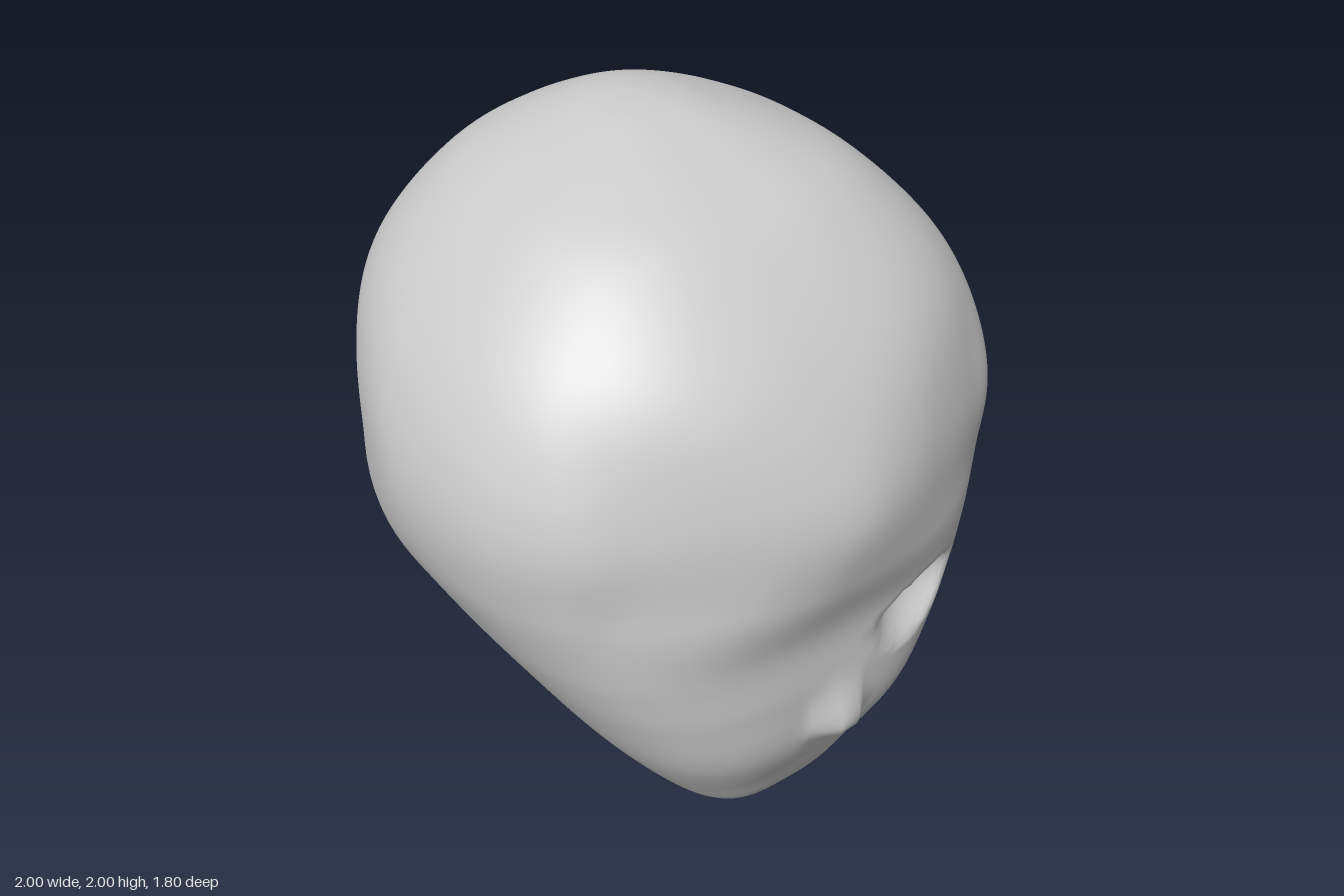
import * as THREE from 'three';

const material = new THREE.MeshStandardMaterial({ color: 0xcccccc });
const CENTER_X = -0.125;

// Head levels: height, half width, front z, back z
const LEVELS = [
  [2.0, 0, -0.1, -0.1], [1.993, 0.08, 0.0, -0.19], [1.97, 0.18, 0.11, -0.29],
  [1.9, 0.365, 0.3, -0.445], [1.8, 0.54, 0.485, -0.585], [1.6, 0.735, 0.695, -0.75],
  [1.4, 0.84, 0.83, -0.855], [1.2, 0.875, 0.9, -0.9], [1.0, 0.845, 0.875, -0.88],
  [0.8, 0.755, 0.815, -0.79], [0.6, 0.64, 0.81, -0.61], [0.4, 0.515, 0.785, -0.4],
  [0.2, 0.365, 0.69, -0.09], [0.1, 0.265, 0.64, 0.11], [0.035, 0.165, 0.585, 0.29],
  [0.008, 0.08, 0.54, 0.4], [0, 0, 0.48, 0.48],
];

// Half of the widest outline, front to back: side fraction, depth fraction
const HALF = [
  [0, 1], [0.2, 0.965], [0.4, 0.89], [0.61, 0.79], [0.8, 0.67], [0.945, 0.44], [1, 0.11],
  [0.94, -0.18], [0.825, -0.43], [0.665, -0.66], [0.44, -0.85], [0.21, -0.96], [0, -1],
];

const smooth = (a, b, v) => THREE.MathUtils.smoothstep(v, a, b);

// Forward offset of the face at (x, y): nose, eye socket and mouth
function faceOffset(x, y) {
  // nose: a ridge that widens to the tip and drops off quickly underneath
  const rise = y > 0.46 ? 1 - smooth(0.46, 0.66, y) : smooth(0.36, 0.46, y);
  const width = 0.035 + 0.03 * rise;
  let d = 0.07 * rise * Math.exp(-(((x + 0.095) / width) ** 2));
  // eye socket: steep under the lid, gently sloped below, rising outward
  const ex = (x - 0.19) / 0.165;
  const lift = y - 0.74 - 0.15 * (x - 0.19);
  const r = Math.hypot(ex, lift / (lift > 0 ? 0.075 : 0.14));
  if (r < 1) d -= 0.085 * (1 - r * r);
  // faint mouth crease
  d -= 0.004 * Math.exp(-(((x + 0.1) / 0.1) ** 2) - ((y - 0.25) / 0.03) ** 2);
  return d;
}

// Rounded-square cross-section away from the widest level, squarest on the face
function superellipse(angle, y) {
  const c = Math.cos(angle), s = Math.sin(angle);
  const e = 2 / (c > 0 ? 3.1 - 0.45 * smooth(0.6, 1.3, y) : 2.15);
  return [Math.sign(s) * Math.abs(s) ** e, Math.sign(c) * Math.abs(c) ** e];
}

function headGeometry() {
  const rows = 150, cols = 176;
  const v3 = (x, y, z) => new THREE.Vector3(x, y, z);
  const curve = (pts, closed) => new THREE.CatmullRomCurve3(pts, closed, 'catmullrom', 0.5);
  const frontCurve = curve(LEVELS.map(([y, w, f]) => v3(w, y, f)), false);
  const backCurve = curve(LEVELS.map(([y, , , b]) => v3(0, y, b)), false);
  const mirrored = HALF.slice(1, -1).reverse().map(([u, v]) => [-u, v]);
  const outline = curve([...HALF, ...mirrored].map(([u, v]) => v3(u, 0, v)), true);
  const ring = Array.from({ length: cols }, (_, j) => outline.getPoint(j / cols));

  const positions = [], index = [];
  for (let i = 0; i <= rows; i++) {
    const p = frontCurve.getPoint(i / rows);
    const back = backCurve.getPoint(i / rows).z;
    const mid = (p.z + back) / 2, depth = (p.z - back) / 2;
    const blend = smooth(1.2, 1.75, p.y) + 1 - smooth(0.75, 1.2, p.y);
    ring.forEach((wide, j) => {
      const square = superellipse(j / cols * Math.PI * 2, p.y);
      const u = THREE.MathUtils.lerp(wide.x, square[0], blend);
      const v = THREE.MathUtils.lerp(wide.z, square[1], blend);
      const x = CENTER_X + p.x * u;
      const offset = v > 0.3 ? faceOffset(x, p.y) : 0;
      positions.push(x, p.y, mid + depth * v + offset);
    });
  }
  for (let i = 0; i < rows; i++) {
    for (let j = 0; j < cols; j++) {
      const a = i * cols + j, b = i * cols + (j + 1) % cols;
      const c = a + cols, d = b + cols;
      if (i < rows - 1) index.push(c, d, b);
      if (i > 0) index.push(a, c, b);
    }
  }
  const g = new THREE.BufferGeometry();
  g.setAttribute('position', new THREE.Float32BufferAttribute(positions, 3));
  g.setIndex(index);
  g.computeVertexNormals();
  // collapsed rings at crown and chin have no area of their own
  const n = g.attributes.normal;
  for (let j = 0; j < cols; j++) {
    n.setXYZ(j, 0, 1, 0);
    n.setXYZ(rows * cols + j, 0, -1, 0);
  }
  return g;
}

// Rounded disc on the side of the head, flaring softly where it meets it
function sideBunGeometry() {
  const profile = new THREE.SplineCurve([
    [0, -0.34], [0.2, -0.31], [0.38, -0.22], [0.475, -0.09], [0.505, 0.03], [0.5, 0.13],
    [0.46, 0.23], [0.385, 0.31], [0.28, 0.36], [0.14, 0.385], [0, 0.39],
  ].map(([x, y]) => new THREE.Vector2(x, y)));
  const points = profile.getPoints(50);
  points.forEach((p) => { p.x = Math.max(p.x, 0); });
  return new THREE.LatheGeometry(points, 72);
}

export function createModel() {
  const model = new THREE.Group();
  model.name = 'headWithSideBun';

  const head = new THREE.Mesh(headGeometry(), material);
  head.name = 'head';
  model.add(head);

  const bun = new THREE.Mesh(sideBunGeometry(), material);
  bun.name = 'sideBun';
  bun.position.set(0.54, 0.75, -0.135);
  bun.quaternion.setFromUnitVectors(
    new THREE.Vector3(0, 1, 0), new THREE.Vector3(0.88, -0.43, -0.22).normalize());
  model.add(bun);
  return model;
}
